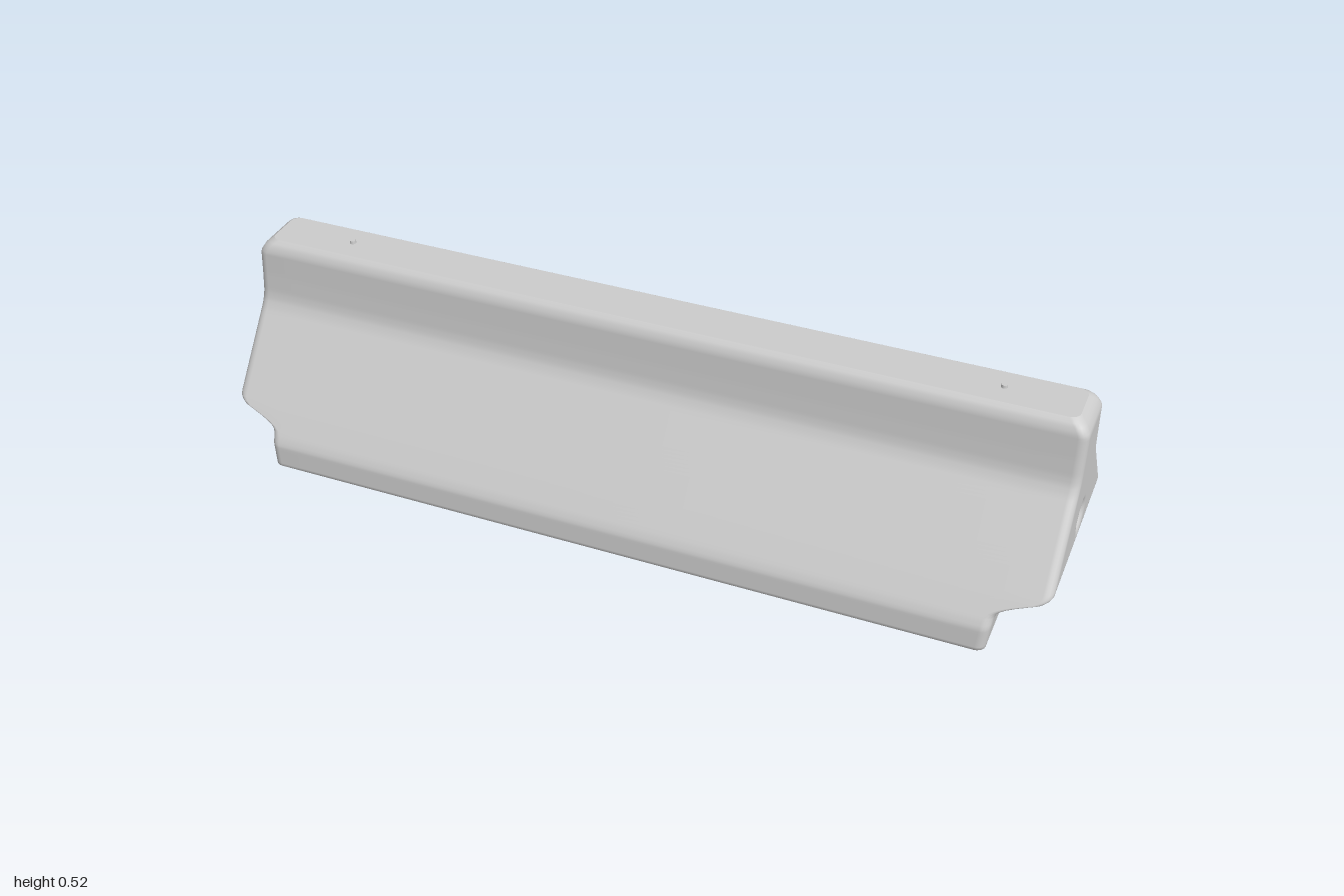
import * as THREE from 'three';

const { lerp, smoothstep } = THREE.MathUtils;

// [height, half depth] of the barrier's cross-section
const DEPTH = [[0.01, 0.275], [0.022, 0.295], [0.08, 0.291], [0.098, 0.282], [0.15, 0.244],
  [0.335, 0.102], [0.355, 0.091], [0.375, 0.086], [0.42, 0.081], [0.48, 0.076], [0.498, 0.068], [0.507, 0.055]];
// [height, half length], with the undercut at both ends
const LENGTH = [[0.01, 0.872], [0.02, 0.88], [0.1, 0.888], [0.113, 0.895], [0.127, 0.925],
  [0.147, 0.99], [0.16, 1], [0.475, 1], [0.495, 0.988], [0.507, 0.972]];

function sample(keys, y) {
  for (let i = 1; i < keys.length; i++) {
    const [y0, v0] = keys[i - 1], [y1, v1] = keys[i];
    if (y <= y1) return lerp(v0, v1, Math.max(0, (y - y0) / (y1 - y0)));
  }
  return keys[keys.length - 1][1];
}

// the whole block leans very slightly along its length
const lean = (x, y) => y + 0.008 * x;

// horizontal outline at one height: four corners joined by subdivided sides
function outline(y) {
  const X = sample(LENGTH, y), Z = sample(DEPTH, y);
  const chip = 1 - smoothstep(y, 0.115, 0.17);
  const corners = [[1, 1], [-1, 1], [-1, -1], [1, -1]].map(([sx, sz], c) => {
    const broken = c === 2 ? chip : 0; // broken lower corner
    const rx = lerp(0.022, 0.18, broken), rz = lerp(0.02, 0.085, broken), power = 1 + broken;
    const arc = [];
    for (let k = 0; k <= 5; k++) {
      const a = ((c % 2 ? 5 - k : k) / 5) * Math.PI / 2;
      const cos = Math.max(0, Math.cos(a)) ** power, sin = Math.sin(a) ** power;
      arc.push([sx * (X - rx * (1 - cos)), sz * (Z - rz * (1 - sin))]);
    }
    return arc;
  });
  const points = [];
  corners.forEach((arc, c) => {
    points.push(...arc);
    const from = arc[5], to = corners[(c + 1) % 4][0], n = c % 2 ? 36 : 24;
    for (let k = 1; k < n; k++) points.push([lerp(from[0], to[0], k / n), lerp(from[1], to[1], k / n)]);
  });
  return points;
}

function barrierGeometry() {
  const position = [], index = [], steps = 70;
  let n = 0;
  const add = (x, y, z) => position.push(x, lean(x, y), z);

  // walls, with a round recess pressed into each end
  for (let j = 0; j <= steps; j++) {
    const y = lerp(0.01, 0.507, j / steps), ring = outline(y);
    n = ring.length;
    ring.forEach(([x, z], i) => {
      const dent = Math.abs(x) > 0.98 ? 0.035 * (1 - smoothstep(Math.hypot(z, y - 0.214), 0.008, 0.042)) : 0;
      add(x - Math.sign(x) * dent, y, z);
      if (j === steps) return;
      const a = j * n + i, b = j * n + (i + 1) % n;
      index.push(a, a + n, b, b, a + n, b + n);
    });
  }

  // flat underside and top
  for (const [y, top] of [[0.01, false], [0.507, true]]) {
    const centre = position.length / 3;
    add(0, y, 0);
    outline(y).forEach(([x, z], i) => {
      add(x, y, z);
      const a = centre + 1 + i, b = centre + 1 + (i + 1) % n;
      index.push(centre, top ? b : a, top ? a : b);
    });
  }

  const geometry = new THREE.BufferGeometry();
  geometry.setAttribute('position', new THREE.Float32BufferAttribute(position, 3));
  geometry.setIndex(index);
  geometry.computeVertexNormals();
  return geometry;
}

export function createModel() {
  const group = new THREE.Group();
  group.name = 'concreteBarrier';
  const material = new THREE.MeshStandardMaterial({ color: 0xcccccc });
  const part = (name, geometry) => {
    const mesh = new THREE.Mesh(geometry, material);
    mesh.name = name;
    group.add(mesh);
    return mesh;
  };

  part('barrierBody', barrierGeometry());

  // connecting pin in each end recess
  for (const side of [-1, 1]) {
    const pin = part(side > 0 ? 'leftEndPin' : 'rightEndPin', new THREE.CylinderGeometry(0.011, 0.011, 0.03, 12));
    pin.rotation.z = Math.PI / 2;
    pin.position.set(side * 0.97, lean(side, 0.214), 0);
  }

  // small lifting studs on the top
  for (const x of [-0.78, 0.8]) {
    const stud = part(x > 0 ? 'leftLiftingStud' : 'rightLiftingStud', new THREE.CylinderGeometry(0.007, 0.009, 0.016, 8));
    stud.position.set(x, lean(x, 0.506), 0);
  }
  return group;
}
